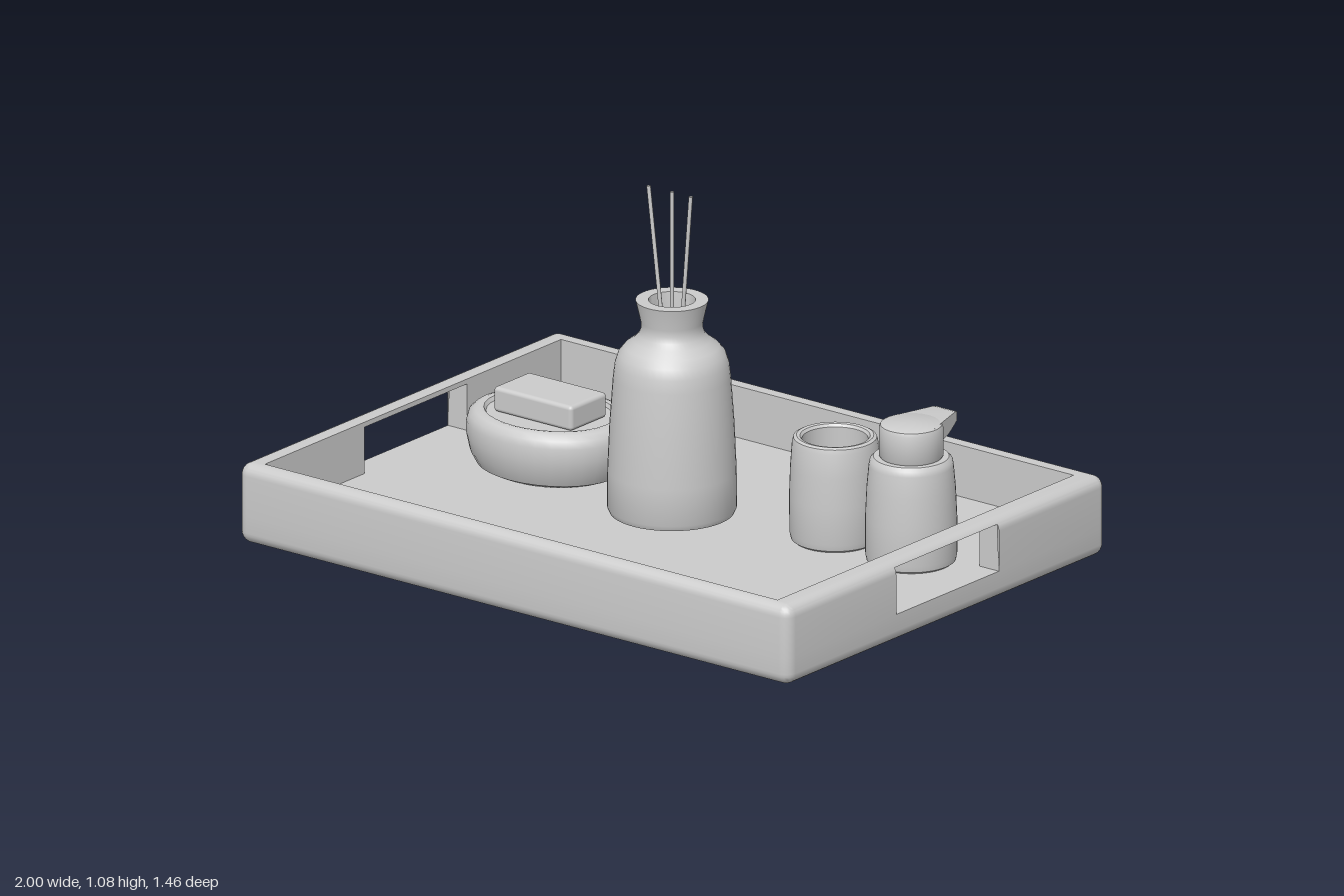
import * as THREE from 'three';
import { toCreasedNormals } from 'three/addons/utils/BufferGeometryUtils.js';
import { RoundedBoxGeometry } from 'three/addons/geometries/RoundedBoxGeometry.js';

const material = new THREE.MeshStandardMaterial({ color: 0xcccccc, side: THREE.DoubleSide });
const FLOOR = 0.085;

function part(name, geometry, x = 0, y = 0, z = 0) {
  const mesh = new THREE.Mesh(geometry, material);
  mesh.name = name;
  mesh.position.set(x, y, z);
  return mesh;
}

// turned body from [radius, height] pairs
function turned(points, segments = 48) {
  const profile = points.map(([r, y]) => new THREE.Vector2(r, y));
  return toCreasedNormals(new THREE.LatheGeometry(profile, segments), 0.6);
}

// Tray: loops lofted from the underside, up the outside, over the rim and down to the floor
function trayGeometry() {
  const X = 1, Z = 0.73, R = 0.035, H = 0.24, N = 6;
  const windowZ = 0.235, windowTop = 0.225;
  const innerX = 0.93, backZ = -0.665, frontZ = 0.69;

  const outer = (y, inset) => {
    const loop = [];
    const r = R - inset;
    [[1, 1], [-1, 1], [-1, -1], [1, -1]].forEach(([sx, sz], c) => {
      for (let i = 0; i <= N; i++) {
        const a = (c + i / N) * Math.PI / 2;
        loop.push([sx * (X - R) + r * Math.cos(a), y, sz * (Z - R) + r * Math.sin(a)]);
      }
      // extra points where the handle openings start and end
      if (c === 1) loop.push([-X + inset, y, windowZ], [-X + inset, y, -windowZ]);
      if (c === 3) loop.push([X - inset, y, -windowZ], [X - inset, y, windowZ]);
    });
    return loop;
  };
  const inner = (y) => outer(y, 0).map(([x, , z]) => [
    THREE.MathUtils.clamp(x, -innerX, innerX), y, THREE.MathUtils.clamp(z, backZ, frontZ)]);
  const centre = (y) => outer(y, 0).map(() => [0, y, 0]);
  const insetAt = (d) => R - Math.sqrt(Math.max(0, R * R - (R - d) ** 2));

  const depths = [0, 1, 2, 3, 4, 5, 6].map((i) => R * (1 - Math.cos(i / 6 * Math.PI / 2)));
  const rows = [centre(0), ...depths.map((d) => outer(d, insetAt(d))), outer(FLOOR, 0)];
  const topDepths = [...depths, H - windowTop].sort((a, b) => b - a);
  topDepths.forEach((d) => rows.push(outer(H - d, insetAt(d))));
  rows.push(inner(H), inner(windowTop), inner(FLOOR), centre(FLOOR));

  const pos = [];
  const quad = (a, b, c, d) => [a, b, c, a, c, d].forEach((p) => pos.push(...p));
  for (let k = 0; k < rows.length - 1; k++) {
    const lo = rows[k], hi = rows[k + 1];
    for (let i = 0; i < lo.length; i++) {
      const j = (i + 1) % lo.length;
      const midY = (lo[i][1] + hi[i][1]) / 2;
      const open = Math.abs(lo[i][0]) > 0.9 && Math.abs(lo[i][2] + lo[j][2]) < 0.01
        && Math.abs(lo[i][2]) < 0.3 && midY > FLOOR + 0.001 && midY < windowTop - 0.001;
      if (!open) quad(lo[i], hi[i], hi[j], lo[j]);
    }
  }
  // inner faces of the two handle openings
  const edge = X - insetAt(H - windowTop);
  for (const s of [1, -1]) {
    const corners = [[FLOOR, -windowZ, X], [windowTop, -windowZ, edge], [windowTop, windowZ, edge], [FLOOR, windowZ, X]];
    corners.forEach(([y, z, x], i) => {
      const [y2, z2, x2] = corners[(i + 1) % 4];
      const q = [[s * x, y, z], [s * innerX, y, z], [s * innerX, y2, z2], [s * x2, y2, z2]];
      quad(...(s > 0 ? q.reverse() : q));
    });
  }
  const geometry = new THREE.BufferGeometry();
  geometry.setAttribute('position', new THREE.Float32BufferAttribute(pos, 3));
  return toCreasedNormals(geometry, 0.6);
}

// Reed diffuser: bottle with open neck and three sticks
function diffuser() {
  const group = new THREE.Group();
  group.name = 'reedDiffuser';
  group.add(part('diffuserBottle', turned([
    [0, 0.11], [0.165, 0.11], [0.178, 0.114], [0.185, 0.13], [0.184, 0.24], [0.178, 0.38], [0.168, 0.52],
    [0.163, 0.56], [0.153, 0.59], [0.135, 0.612], [0.11, 0.63], [0.095, 0.647], [0.088, 0.665],
    [0.089, 0.685], [0.104, 0.75], [0.067, 0.75], [0.062, 0.69], [0.062, 0.6], [0, 0.6],
  ])));
  for (const [low, high] of [[-0.027, -0.085], [0, 0], [0.03, 0.068]]) {
    const path = new THREE.LineCurve3(new THREE.Vector3(low, 0.6, 0), new THREE.Vector3(high, 1.075, 0));
    group.add(part('reedStick', new THREE.TubeGeometry(path, 1, 0.006, 8)));
  }
  return group;
}

// Pump bottle: body, collar, rounded head and a tapered spout pointing back
function pumpBottle() {
  const group = new THREE.Group();
  group.name = 'pumpBottle';
  group.position.set(0.745, 0, -0.155);
  group.add(part('pumpBody', turned([
    [0, FLOOR], [0.118, FLOOR], [0.128, 0.092], [0.131, 0.11], [0.131, 0.22], [0.127, 0.31],
    [0.121, 0.375], [0.118, 0.39], [0.108, 0.4], [0, 0.4],
  ])));
  group.add(part('pumpHead', turned([
    [0, 0.398], [0.088, 0.398], [0.092, 0.405], [0.092, 0.485], [0.088, 0.496], [0.08, 0.5], [0, 0.5],
  ])));
  const side = new THREE.Shape([[0, 0.44], [0.1, 0.447], [0.125, 0.454], [0.162, 0.468], [0.165, 0.495], [0.15, 0.499], [0, 0.499]]
    .map(([x, y]) => new THREE.Vector2(x, y)));
  const spout = new THREE.ExtrudeGeometry(side, { depth: 2, bevelEnabled: false });
  spout.translate(0, 0, -1).rotateY(Math.PI / 2);
  const p = spout.attributes.position;
  for (let i = 0; i < p.count; i++) {
    p.setX(i, p.getX(i) * THREE.MathUtils.mapLinear(p.getZ(i), 0, -0.165, 0.084, 0.036));
  }
  spout.computeVertexNormals();
  group.add(part('pumpSpout', toCreasedNormals(spout, 0.5)));
  return group;
}

// Soap dish: oval bowl with a bar of soap
function soapDish() {
  const group = new THREE.Group();
  group.name = 'soapDish';
  group.position.set(-0.545, 0, -0.13);
  const bowl = turned([
    [0, FLOOR], [0.19, FLOOR], [0.225, 0.1], [0.245, 0.135], [0.255, 0.18], [0.255, 0.22], [0.248, 0.242],
    [0.232, 0.256], [0.215, 0.262], [0.202, 0.26], [0.195, 0.249], [0, 0.247],
  ], 32);
  bowl.scale(1, 1, 0.825);
  group.add(part('dishBowl', bowl));
  group.add(part('soapBar', new RoundedBoxGeometry(0.285, 0.075, 0.165, 3, 0.012), 0.002, 0.2865, 0.003));
  return group;
}

export function createModel() {
  const model = new THREE.Group();
  model.name = 'bathroomTray';
  model.add(part('tray', trayGeometry()), diffuser(), pumpBottle(), soapDish());
  // Open cup
  model.add(part('cup', turned([
    [0, FLOOR], [0.116, FLOOR], [0.126, 0.092], [0.13, 0.11], [0.131, 0.22], [0.128, 0.31], [0.123, 0.38],
    [0.119, 0.395], [0.11, 0.4], [0.1, 0.398], [0.094, 0.39], [0.096, 0.3], [0.098, 0.13], [0, 0.12],
  ]), 0.465, 0, -0.16));
  return model;
}
